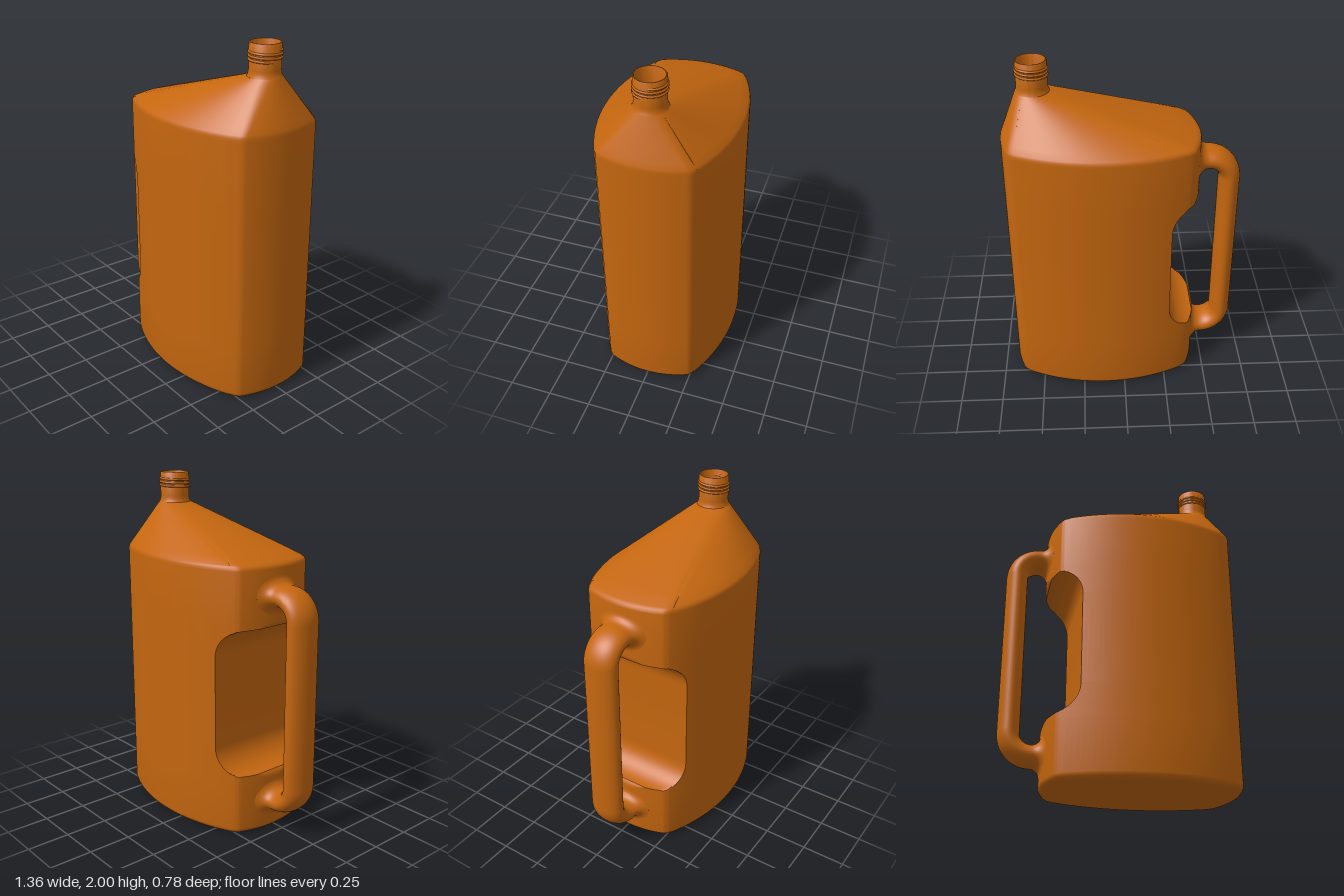
import * as THREE from 'three';
import { toCreasedNormals } from 'three/addons/utils/BufferGeometryUtils.js';

const CX = 0.1175;             // middle of the body in x
const CORNER = -0.36;          // where the left corner rounding meets the side
const MID = 0.79;              // mid height of the grip recess and handle
const NECK = 0.488, NECK_R = 0.095;

// Plan outline: bulged sides, bulged ends and rounded corners
const sideZ = x => Math.sqrt(1.06 ** 2 - (x - CX) ** 2) - 0.67;
function endX(z) {
  const a = Math.abs(z), u = Math.max(0, a - 0.24), e = Math.min(a, 0.24);
  return -0.445 + 0.615 - Math.sqrt(0.615 ** 2 - e * e) + 0.42 * u + 22 * u * u;
}

// How far the grip recess cuts in at height y
function recessX(y) {
  const d = Math.abs(y - MID);
  if (d <= 0.27) return -0.27;
  if (d < 0.43) return -0.43 + 0.16 * Math.sqrt(1 - ((d - 0.27) / 0.16) ** 2);
  if (d < 0.465) return -0.445 + 0.015 * (1 - (d - 0.43) / 0.035) ** 2;
  return -1;
}

// Counterclockwise plan outline (seen from above) at height y
function outline(y) {
  const cut = recessX(y), x0 = Math.max(cut, CORNER), x1 = 2 * CX - CORNER;
  const zl = sideZ(x0), zr = sideZ(x1), M = 44, N = 32, pts = [];
  const s = i => Math.sin((i / M - 0.5) * Math.PI);
  for (let i = 0; i < M; i++) {
    const z = zl * s(i);
    pts.push([i === 0 ? x0 : Math.max(cut, endX(Math.min(Math.abs(z), sideZ(CORNER)))), z]);
  }
  for (let i = 0; i < N; i++) {
    const x = x0 + (x1 - x0) * i / N;
    pts.push([x, sideZ(x)]);
  }
  for (let i = 0; i < M; i++) {
    const z = -zr * s(i);
    pts.push([2 * CX - endX(z), z]);
  }
  for (let i = 0; i < N; i++) {
    const x = x1 + (x0 - x1) * i / N;
    pts.push([x, -sideZ(x)]);
  }
  return pts;
}

// Skin closed rings of [x, y, z] points; optionally close the first ring
function loft(rings, cap) {
  const n = rings[0].length, pos = rings.flat(2), index = [];
  for (let r = 0; r < rings.length - 1; r++) {
    for (let j = 0; j < n; j++) {
      const k = (j + 1) % n, a = r * n + j, b = r * n + k;
      index.push(a, b, b + n, a, b + n, a + n);
    }
  }
  if (cap) {
    const c = pos.length / 3;
    pos.push(CX, rings[0][0][1], 0);
    for (let j = 0; j < n; j++) index.push(c, (j + 1) % n, j);
  }
  const g = new THREE.BufferGeometry();
  g.setAttribute('position', new THREE.Float32BufferAttribute(pos, 3));
  g.setIndex(index);
  return toCreasedNormals(g, 0.6);
}

function bodyGeometry() {
  const rings = [];
  // Rounded foot
  for (let i = 0; i <= 5; i++) {
    const a = i / 5 * Math.PI / 2, inset = 0.035 * (1 - Math.sin(a)), y = 0.035 * (1 - Math.cos(a));
    rings.push(outline(0).map(([x, z]) =>
      [CX + (x - CX) * (1 - inset / 0.56), y, z * (1 - inset / 0.39)]));
  }
  // Walls with the recess, heights mirrored about its middle
  const d = [];
  for (let i = 0; i <= 12; i++) d.push(0.27 + 0.16 * Math.sin(i / 12 * Math.PI / 2));
  d.push(0.437, 0.445, 0.455, 0.465);
  const heights = [...d.map(v => MID - v).reverse(), ...d.map(v => MID + v)];
  for (const y of heights) rings.push(outline(y).map(([x, z]) => [x, y, z]));
  // Sloping shoulder: each outline point runs to the neck point facing the same way
  const base = outline(1.5), n = base.length;
  const top = base.map((p, i) => {
    const a = base[(i + n - 1) % n], b = base[(i + 1) % n];
    const dx = b[0] - a[0], dz = b[1] - a[1], l = Math.hypot(dx, dz);
    return [NECK - NECK_R * dz / l, NECK_R * dx / l];
  });
  const slope = [[0, 1.545], [0.003, 1.557], [0.013, 1.567], [0.035, 1.576]];
  for (let i = 1; i <= 8; i++) slope.push([0.035 + 0.965 * i / 8, 1.576 + 0.246 * i / 8]);
  for (const [t, y] of slope) {
    rings.push(base.map(([x, z], i) => [x + (top[i][0] - x) * t, y, z + (top[i][1] - z) * t]));
  }
  return loft(rings, true);
}

function handleGeometry() {
  const half = [];
  const add = (x, y, nx, ny, flare, warp) => {
    const ring = [];
    for (let j = 0; j < 40; j++) {
      const t = j / 40 * Math.PI * 2, c = Math.cos(t), s = Math.sin(t);
      const u = c * (0.0625 + flare), z = -s * (0.105 + flare);
      ring.push([x + nx * u + warp * (endX(z) + 0.445), y + ny * u, z]);
    }
    half.push(ring);
  };
  // Flared root, sunk slightly into the wall
  add(-0.435, 1.395, 0, 1, 0.052, 1);
  for (let i = 8; i >= 0; i--) {
    const a = i / 8 * Math.PI / 2;
    add(-0.495 + 0.05 * Math.sin(a), 1.395, 0, 1, 0.05 * (1 - Math.cos(a)), i / 8);
  }
  // Bend down into the grip
  for (let i = 1; i <= 14; i++) {
    const a = Math.PI / 2 * (1 + i / 14), c = Math.cos(a), s = Math.sin(a);
    add(-0.497 + 0.125 * c, 1.27 + 0.125 * s, c, s, 0, 0);
  }
  const lower = half.map(r => r.map(([x, y, z]) => [x, 2 * MID - y, z])).reverse();
  // Mirrored rings keep the same point order because inner and outer sides stay put
  return loft([...half, ...lower], false);
}

export function createModel() {
  const group = new THREE.Group();
  const plastic = new THREE.MeshStandardMaterial({ color: 0xc4660f, side: THREE.DoubleSide });
  const part = (name, geometry) => {
    const mesh = new THREE.Mesh(geometry, plastic);
    mesh.name = name;
    group.add(mesh);
    return mesh;
  };

  part('body', bodyGeometry());
  part('handle', handleGeometry());

  // Open neck with a thin wall
  const profile = [[0.095, 1.822], [0.09, 1.832], [0.087, 1.845], [0.086, 1.86], [0.086, 1.996],
    [0.083, 2], [0.079, 2], [0.077, 1.996], [0.077, 1.83]];
  const neck = new THREE.LatheGeometry(profile.map(p => new THREE.Vector2(...p)), 64);
  part('neck', toCreasedNormals(neck, 0.9)).position.x = NECK;

  // Screw thread wound around the neck, fading into it at both ends
  const turns = 3, steps = 120, helix = [];
  for (let i = 0; i <= steps; i++) {
    const t = i / steps, a = t * turns * Math.PI * 2;
    const r = 0.086 - 0.008 * Math.max(0, 1 - Math.min(t, 1 - t) / 0.04);
    helix.push(new THREE.Vector3(r * Math.cos(a), 1.905 + 0.06 * t, r * Math.sin(a)));
  }
  const thread = new THREE.TubeGeometry(new THREE.CatmullRomCurve3(helix), 240, 0.007, 8);
  part('screwThread', thread).position.x = NECK;

  return group;
}
